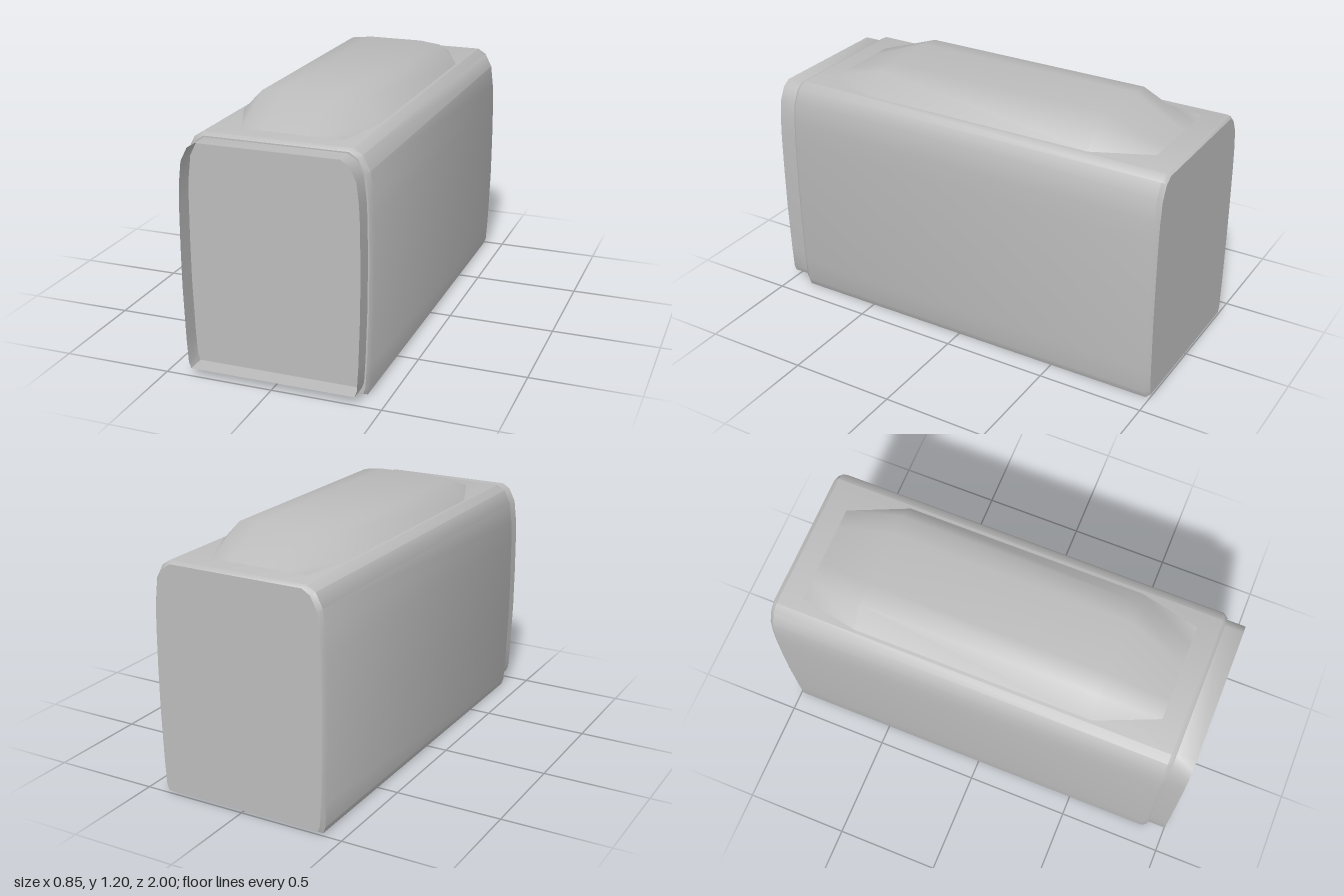
import * as THREE from 'three';
import { toCreasedNormals } from 'three/addons/utils/BufferGeometryUtils.js';

// Skin a list of equal-length sections, running from back to front
function loft(sections, closed, capBack, capFront, crease) {
  const n = sections[0].length, pos = [], idx = [];
  for (const s of sections) for (const p of s) pos.push(...p);
  for (let i = 0; i < sections.length - 1; i++) {
    for (let j = 0; j < (closed ? n : n - 1); j++) {
      const k = (j + 1) % n;
      const a = i * n + j, b = i * n + k, c = a + n, d = b + n;
      idx.push(a, b, d, a, d, c);
    }
  }
  const last = (sections.length - 1) * n;
  for (let j = 1; j < n - 1; j++) {
    if (capBack) idx.push(0, j + 1, j);
    if (capFront) idx.push(last, last + j, last + j + 1);
  }
  const g = new THREE.BufferGeometry();
  g.setAttribute('position', new THREE.Float32BufferAttribute(pos, 3));
  g.setIndex(idx);
  return toCreasedNormals(g, crease);
}

// Right half of the bulging, round-shouldered outline, bottom to top
const half = [
  [0.4, 0], [0.411, 0.03], [0.418, 0.15], [0.426, 0.4], [0.427, 0.6],
  [0.425, 0.8], [0.42, 0.9], [0.408, 1.0], [0.375, 1.065], [0.335, 1.09],
];
const outline = [...half, ...half.slice().reverse().map(([x, y]) => [-x, y])];

// The outline squeezed to a half-width factor and a height range, at depth z
const ring = (z, sx, y0, y1) =>
  outline.map(([x, y]) => [x * sx, y0 + (y / 1.09) * (y1 - y0), z]);

export function createModel() {
  const group = new THREE.Group();
  const grey = new THREE.MeshStandardMaterial({ color: 0xbcbcbc, side: THREE.DoubleSide });
  grey.name = 'grey';
  const add = (name, geometry) => {
    const mesh = new THREE.Mesh(geometry, grey);
    mesh.name = name;
    group.add(mesh);
  };

  // Long shell with softly bevelled ends
  add('shell', loft([
    ring(-1, 0.965, 0.013, 1.078),
    ring(-0.98, 1, 0, 1.09),
    ring(0.89, 1, 0, 1.09),
    ring(0.912, 0.965, 0.013, 1.078),
  ], true, true, true, 0.7));

  // Open collar around the recessed front face
  add('frontCollar', loft([
    ring(0.9, 0.95, 0.037, 1.072),
    ring(1, 0.95, 0.037, 1.072),
  ], true, false, false, 0.7));

  // Raised roof fairing, sloping down to the roof at both ends
  const across = [0.32, 0.232, 0.13, -0.13, -0.232, -0.32];
  const rise = [1.09, 1.183, 1.195, 1.195, 1.183, 1.09];
  const hump = z => across.map((x, i) => [x, rise[i], z]);
  const foot = (z, left, right) =>
    across.map((x, i) => [THREE.MathUtils.lerp(left, right, i / 5), 1.0905, z]);
  add('roofFairing', loft([
    foot(-0.88, 0.2, -0.27), hump(-0.61), hump(0.52), foot(0.8, 0.26, -0.2),
  ], false, false, false, 0.9));

  return group;
}
